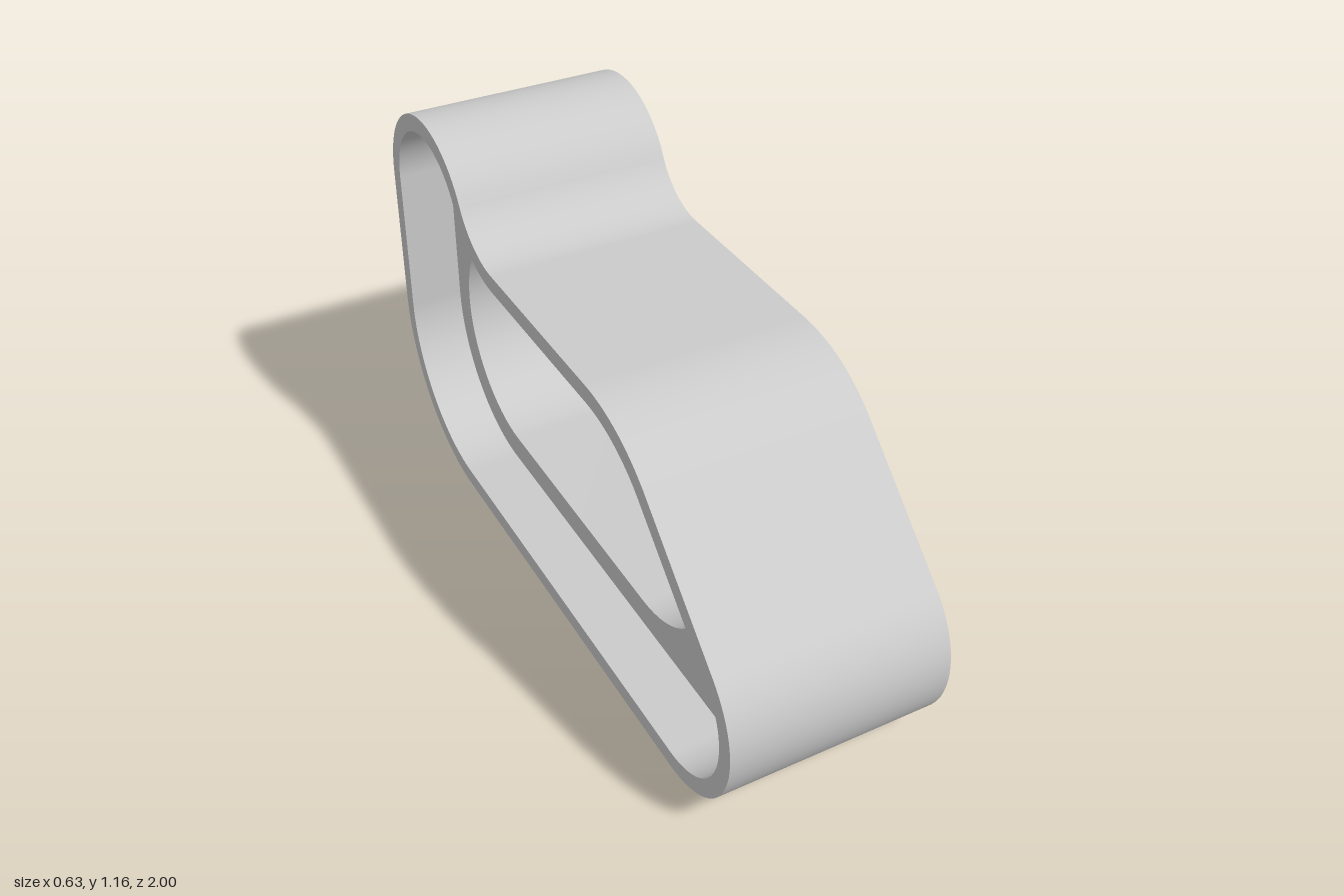
import * as THREE from 'three';

// Profiles are drawn in a plane where shape X = -z and shape Y = y; depth runs along +x.
const OPEN = -0.313, LEDGE = -0.155, SCREW_END = 0.2, FLOOR = 0.25, FACE = 0.313;
const PI = Math.PI;

// Body outline, inset by d
function outline(d) {
  const s = new THREE.Shape();
  const lobe = Math.atan2(0.242, -0.44), slope = Math.atan2(0.73, -0.68);
  s.absarc(0.56, 0.44, 0.44 - d, -PI / 2, 0);
  s.absarc(0.72, 0.885, 0.28 - d, 0, lobe);
  s.absarc(0.28, 1.127, 0.222 + d, lobe - PI, -PI / 2, true);
  s.absarc(-0.28, 0.455, 0.45 - d, PI / 2, slope);
  s.absarc(-0.72, 0.28, 0.28 - d, slope, 1.5 * PI);
  s.closePath();
  return s;
}

// Rounded pocket behind the ledge
function pocketShape() {
  const s = new THREE.Shape();
  s.absarc(0.54, 0.46, 0.33, -PI / 2, PI / 2);
  s.absarc(-0.28, 0.46, 0.33, PI / 2, 1.5 * PI);
  s.closePath();
  return s;
}

// Large window, narrower toward the top
function windowShape() {
  const s = new THREE.Shape(), c = 0.133, a = 0.54;
  s.absarc(c + 0.125, 0.42, 0.23, -PI / 2, a);
  s.absarc(c + 0.1, 0.52, 0.2, a, PI / 2);
  s.absarc(c - 0.1, 0.52, 0.2, PI / 2, PI - a);
  s.absarc(c - 0.125, 0.42, 0.23, PI - a, 1.5 * PI);
  s.closePath();
  return s;
}

// Regular polygon used for all round holes
function ring(x, y, r, n) {
  const pts = [];
  for (let i = 0; i < n; i++) {
    const a = (i + 0.5) / n * 2 * PI;
    pts.push(new THREE.Vector2(x + r * Math.cos(a), y + r * Math.sin(a)));
  }
  return new THREE.Shape(pts);
}

export function createModel() {
  const group = new THREE.Group();
  const material = new THREE.MeshStandardMaterial({ color: 0xcccccc });
  const faceted = new THREE.MeshStandardMaterial({ color: 0xcccccc, flatShading: true });
  const SEG = 16;

  function add(name, geometry, mat = material) {
    const mesh = new THREE.Mesh(geometry, mat);
    mesh.name = name;
    group.add(mesh);
  }

  // Flat face at depth x; toFace picks the +x or -x side
  function cap(name, shape, holes, x, toFace) {
    const s = shape.clone();
    s.holes = holes;
    const g = new THREE.ShapeGeometry(s, SEG);
    g.rotateY(PI / 2).translate(x, 0, 0);
    if (!toFace) {
      g.index.array.reverse();
      const n = g.attributes.normal.array;
      for (let i = 0; i < n.length; i++) n[i] *= -1;
    }
    add(name, g);
  }

  // Smooth wall following a profile between two depths
  function wall(name, shape, x0, x1, outward, mat) {
    const pts = shape.getPoints(SEG).filter((p, i, all) =>
      p.distanceTo(all[(i + 1) % all.length]) > 1e-5);
    const pos = [], idx = [], n = pts.length;
    for (const p of pts) pos.push(x0, p.y, -p.x, x1, p.y, -p.x);
    for (let i = 0; i < n; i++) {
      const a = 2 * i, b = 2 * ((i + 1) % n);
      if (outward) idx.push(a, b, b + 1, a, b + 1, a + 1);
      else idx.push(a, b + 1, b, a, a + 1, b + 1);
    }
    const g = new THREE.BufferGeometry();
    g.setAttribute('position', new THREE.Float32BufferAttribute(pos, 3));
    g.setIndex(idx);
    g.computeVertexNormals();
    add(name, g, mat);
  }

  const outer = outline(0), inner = outline(0.05), pocket = pocketShape();
  const through = [windowShape(), ring(-0.39, 0.455, 0.112, 32), ring(0.65, 0.455, 0.112, 32)];
  const screws = [ring(-0.73, 0.275, 0.077, 6), ring(0.72, 0.885, 0.077, 6)];

  // Shell
  wall('outerWall', outer, OPEN, FACE, true);
  cap('facePlate', outer, through, FACE, true);
  cap('rim', outer, [inner], OPEN, false);
  wall('innerWall', inner, OPEN, LEDGE, false);

  // Ledge and pocket
  cap('ledge', inner, [pocket, ...screws], LEDGE, false);
  wall('pocketWall', pocket, LEDGE, FLOOR, false);
  cap('pocketFloor', pocket, through, FLOOR, false);

  // Openings through the face plate
  through.forEach((h, i) => wall(i ? 'boltHole' : 'windowEdge', h, FLOOR, FACE, false));

  // Blind screw holes in the ledge
  for (const h of screws) {
    wall('screwHole', h, LEDGE, SCREW_END, false, faceted);
    cap('screwHoleEnd', h, [], SCREW_END, false);
  }
  return group;
}
